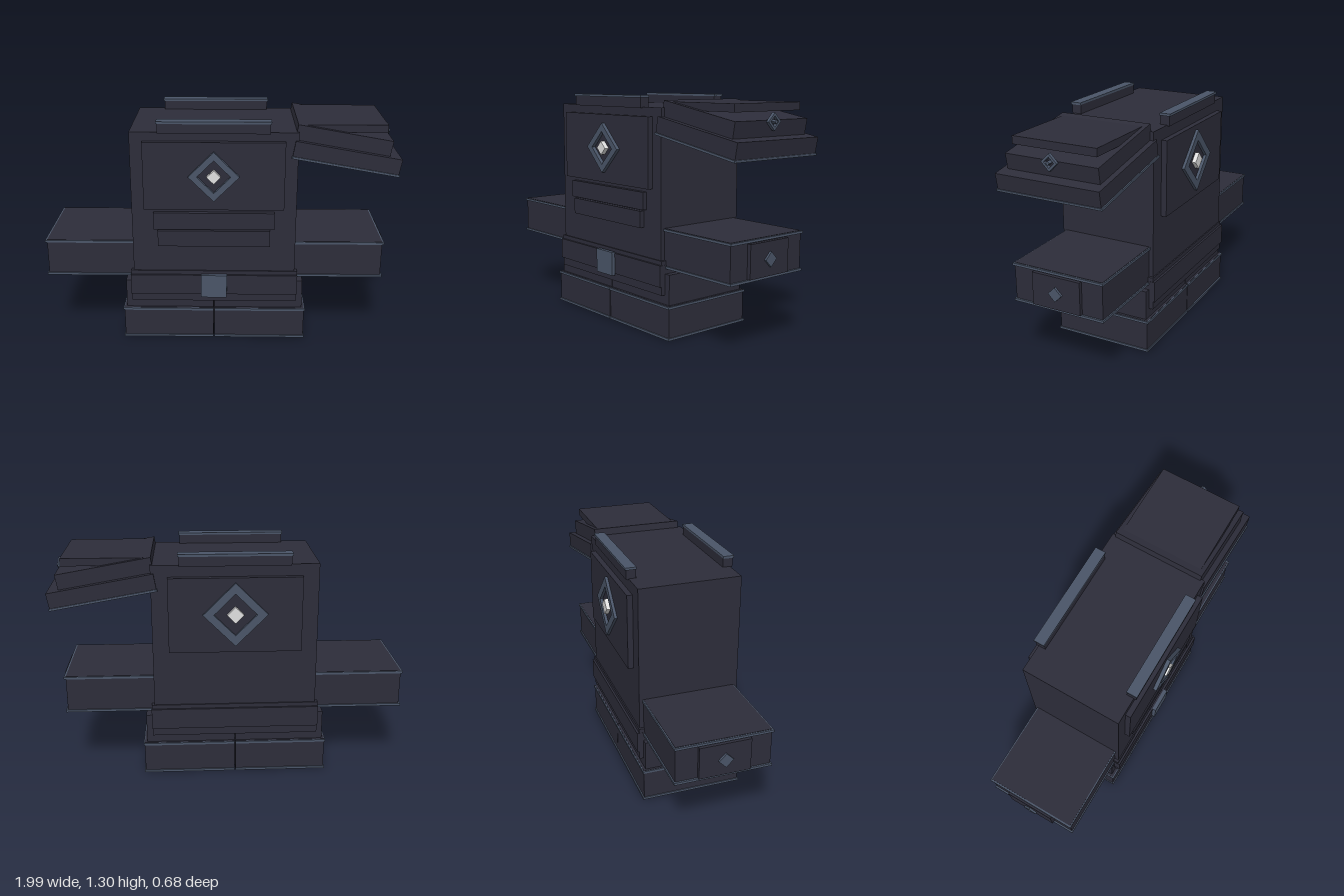
import * as THREE from 'three';

const material = (name, color) => {
  const m = new THREE.MeshStandardMaterial({ color });
  m.name = name;
  return m;
};

export function createModel() {
  const dark = material('dark plate', 0x2d2d3a);
  const slate = material('slate trim', 0x4a5568);
  const pale = material('pale gem', 0xe0e0e0);

  const model = new THREE.Group();
  model.name = 'armourSet';
  model.position.x = -0.02;

  // Box given by its lower and upper limits on each axis
  function box(parent, name, mat, [x0, x1], [y0, y1], [z0, z1]) {
    const mesh = new THREE.Mesh(new THREE.BoxGeometry(x1 - x0, y1 - y0, z1 - z0), mat);
    mesh.position.set((x0 + x1) / 2, (y0 + y1) / 2, (z0 + z1) / 2);
    mesh.name = name;
    parent.add(mesh);
    return mesh;
  }

  // Diamond facing +z, optionally hollow, with its back at z = 0
  function diamond(parent, name, mat, r, inner, depth) {
    const corners = (s) => [[0, -s], [s, 0], [0, s], [-s, 0]].map(([x, y]) => new THREE.Vector2(x, y));
    const shape = new THREE.Shape(corners(r));
    if (inner) shape.holes.push(new THREE.Path(corners(inner).reverse()));
    const mesh = new THREE.Mesh(new THREE.ExtrudeGeometry(shape, { depth, bevelEnabled: false }), mat);
    mesh.name = name;
    parent.add(mesh);
    return mesh;
  }

  // Hollow diamond frame around a small centre piece
  function emblem(parent, name, gemMat, r, inner, gem, depth, gemDepth) {
    const g = new THREE.Group();
    g.name = name;
    diamond(g, 'emblemFrame', slate, r, inner, depth);
    diamond(g, 'emblemGem', gemMat, gem, 0, gemDepth);
    parent.add(g);
    return g;
  }

  // Torso and waist
  box(model, 'torso', dark, [-0.455, 0.455], [0.24, 1.235], [-0.283, 0.283]);
  box(model, 'waist', dark, [-0.47, 0.47], [0.24, 0.428], [-0.29, 0.29]);
  box(model, 'belt', dark, [-0.472, 0.472], [0.287, 0.405], [-0.302, 0.302]);
  box(model, 'buckle', slate, [-0.073, 0.073], [0.277, 0.413], [0.3, 0.323]);

  // Chest, abdomen and back plates
  box(model, 'chestPlate', dark, [-0.385, 0.385], [0.805, 1.187], [0.28, 0.313]);
  box(model, 'upperAbdomenPlate', dark, [-0.334, 0.334], [0.687, 0.784], [0.28, 0.308]);
  box(model, 'lowerAbdomenPlate', dark, [-0.312, 0.312], [0.587, 0.679], [0.28, 0.31]);
  box(model, 'backPlate', dark, [-0.365, 0.365], [0.75, 1.17], [-0.314, -0.28]);
  emblem(model, 'chestEmblem', pale, 0.139, 0.092, 0.038, 0.022, 0.027).position.set(0, 1, 0.312);
  const back = emblem(model, 'backEmblem', pale, 0.178, 0.118, 0.046, 0.017, 0.024);
  back.position.set(0, 0.967, -0.313);
  back.rotation.y = Math.PI;

  // Collar ridges at front and back
  for (const s of [1, -1]) {
    const span = (a, b) => (s > 0 ? [a, b] : [-b, -a]);
    box(model, 'collar', dark, [-0.302, 0.302], [1.23, 1.285], span(0.242, 0.297));
    box(model, 'collarTrim', slate, [-0.308, 0.308], [1.284, 1.297], span(0.242, 0.303));
  }

  // Arms and legs, mirrored
  for (const s of [1, -1]) {
    const side = s > 0 ? 'left' : 'right';
    const span = (a, b) => (s > 0 ? [a, b] : [-b, -a]);

    const arm = new THREE.Group();
    arm.name = side + 'Arm';
    model.add(arm);
    box(arm, 'gauntlet', dark, span(0.45, 0.945), [0.383, 0.6], [-0.259, 0.259]);
    for (const y of [0.385, 0.585])
      box(arm, 'gauntletTrim', slate, span(0.45, 0.955), [y, y + 0.013], [-0.266, 0.266]);
    box(arm, 'gauntletPanel', dark, span(0.94, 0.966), [0.4, 0.58], [-0.14, 0.14]);
    const stud = diamond(arm, 'gauntletStud', slate, 0.04, 0, 0.013);
    stud.position.set(s * 0.965, 0.488, 0);
    stud.rotation.y = s * Math.PI / 2;

    const leg = new THREE.Group();
    leg.name = side + 'Leg';
    model.add(leg);
    box(leg, 'thigh', dark, span(0.003, 0.505), [0.18, 0.356], [-0.267, 0.267]);
    box(leg, 'boot', dark, span(0.003, 0.519), [0, 0.189], [-0.281, 0.281]);
    for (const y of [0.001, 0.174])
      box(leg, 'bootTrim', slate, span(0.003, 0.525), [y, y + 0.013], [-0.288, 0.288]);
  }

  // Layered shoulder guard on the left, tilted down and outward
  const guard = new THREE.Group();
  guard.name = 'shoulderGuard';
  guard.position.set(0.418, 1.096, 0);
  guard.rotation.z = -Math.PI / 18;
  model.add(guard);
  box(guard, 'lowerGuard', dark, [0.003, 0.586], [0.004, 0.097], [-0.293, 0.293]);
  box(guard, 'lowerGuardTrim', slate, [0, 0.59], [0, 0.012], [-0.3, 0.3]);
  box(guard, 'middleGuard', dark, [0.002, 0.522], [0.09, 0.181], [-0.262, 0.262]);
  box(model, 'topGuard', dark, [0.475, 0.934], [1.225, 1.267], [-0.238, 0.238]);
  const badge = emblem(model, 'guardEmblem', slate, 0.045, 0.028, 0.011, 0.018, 0.028);
  badge.position.set(0.96, 1.176, 0);
  badge.rotation.y = Math.PI / 2;

  const root = new THREE.Group();
  root.name = 'model';
  root.add(model);
  return root;
}
